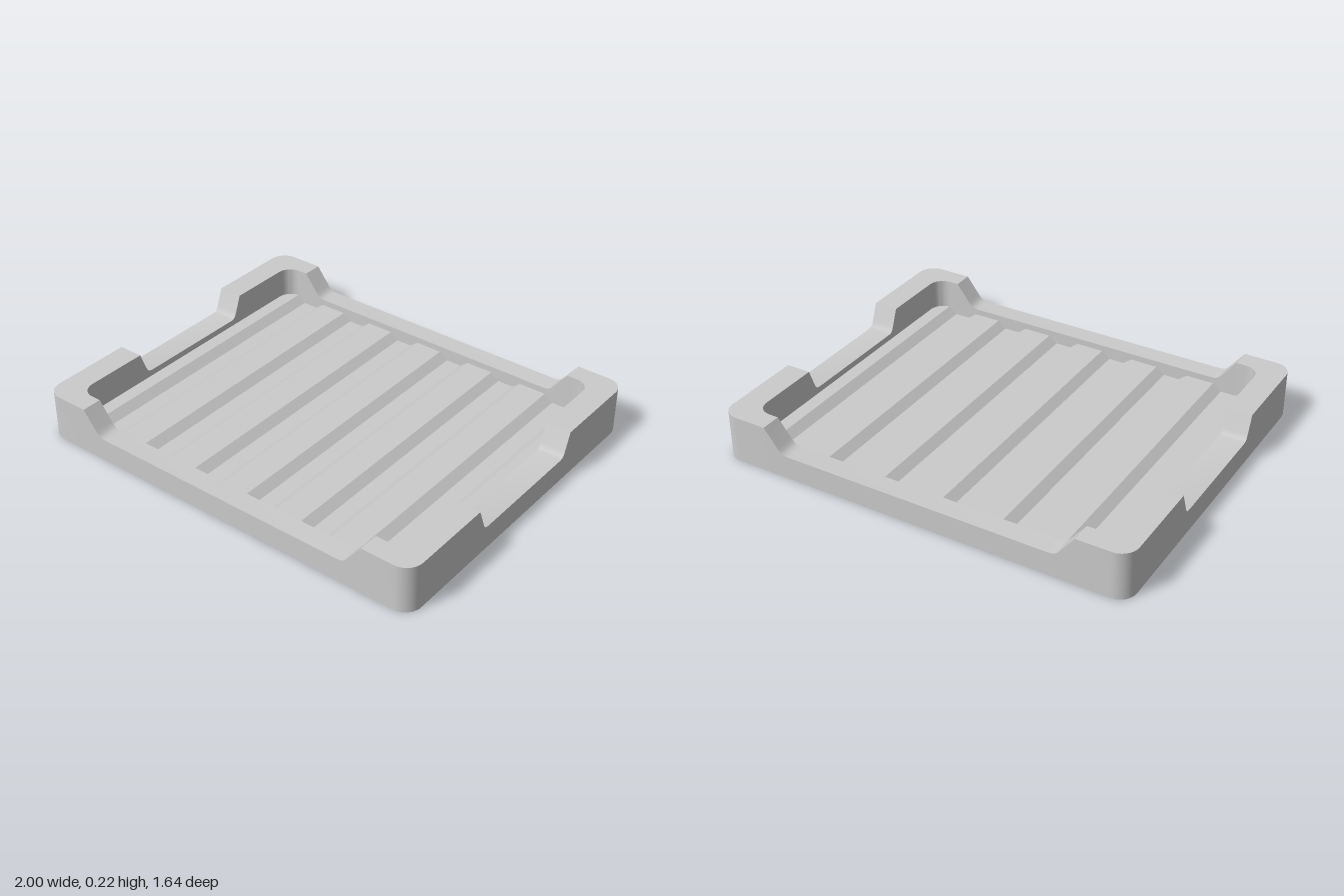
import * as THREE from 'three';
import { toCreasedNormals } from 'three/addons/utils/BufferGeometryUtils.js';

const material = new THREE.MeshStandardMaterial({ color: 0xcccccc });
const RIM_TOP = 0.225, FLOOR = 0.05, RIDGE_TOP = 0.082;
const OUTER = [1, 0.82, 0.08], INNER = [0.88, 0.723, 0.07]; // half x, half z, corner radius
const ARC = 10;

// Notch profiles, half of each: [distance from middle, rim height]
const mirrored = (half) => [...half, ...half.map(([t, y]) => [-t, y]).reverse()];
const LONG_NOTCH = mirrored([[0.762, RIM_TOP], [0.696, 0.14], [0.683, 0.125], [0.667, 0.115], [0.645, 0.112]]);
const SHORT_NOTCH = mirrored([[0.348, RIM_TOP], [0.315, 0.14], [0.308, 0.125], [0.298, 0.115], [0.28, 0.112]]);

function addMesh(group, geometry, name) {
  const mesh = new THREE.Mesh(geometry, material);
  mesh.name = name;
  group.add(mesh);
  return mesh;
}

// Rounded rectangle outline with rim heights: a corner arc, then a notched side, four times
function outline([a, b, r]) {
  const points = [];
  for (let q = 0; q < 4; q++) {
    const cx = (q === 0 || q === 3 ? 1 : -1) * (a - r);
    const cz = (q < 2 ? 1 : -1) * (b - r);
    for (let i = 0; i <= ARC; i++) {
      const angle = (q + i / ARC) * Math.PI / 2;
      points.push([cx + r * Math.cos(angle), RIM_TOP, cz + r * Math.sin(angle)]);
    }
    for (const [t, y] of q % 2 ? SHORT_NOTCH : LONG_NOTCH) {
      points.push([[t, y, b], [-a, y, t], [-t, y, -b], [a, y, -t]][q]);
    }
  }
  return points;
}

// Rim wall: a four-sided section carried around the outline
function rimGeometry() {
  const outer = outline(OUTER), inner = outline(INNER);
  const sections = outer.map((o, i) => {
    const n = inner[i];
    return [[o[0], 0, o[2]], o, n, [n[0], 0, n[2]]];
  });
  const positions = [];
  sections.forEach((A, i) => {
    const B = sections[(i + 1) % sections.length];
    for (let k = 0; k < 4; k++) {
      const m = (k + 1) % 4;
      positions.push(...A[k], ...A[m], ...B[m], ...A[k], ...B[m], ...B[k]);
    }
  });
  const geometry = new THREE.BufferGeometry();
  geometry.setAttribute('position', new THREE.Float32BufferAttribute(positions, 3));
  return toCreasedNormals(geometry, 0.5);
}

// Floor plate with four blind slots on its underside
function floorGeometry(pitch) {
  const shape = new THREE.Shape(outline(INNER).map(([x, , z]) => new THREE.Vector2(x, z)));
  for (const i of [-2, -1, 1, 2]) {
    const x = i * pitch, w = 0.057, l = 0.52;
    shape.holes.push(new THREE.Path([[x - w, -l], [x - w, l], [x + w, l], [x + w, -l]]
      .map((p) => new THREE.Vector2(...p))));
  }
  return new THREE.ExtrudeGeometry(shape, { depth: FLOOR, bevelEnabled: false }).rotateX(-Math.PI / 2);
}

// Trapezoid bar along z, from x0 to x1 at its foot
function ridgeGeometry(x0, x1, slope0, slope1) {
  const shape = new THREE.Shape([
    [x0, FLOOR], [x1, FLOOR], [x1 - slope1, RIDGE_TOP], [x0 + slope0, RIDGE_TOP],
  ].map((p) => new THREE.Vector2(...p)));
  return new THREE.ExtrudeGeometry(shape, { depth: 1.46, bevelEnabled: false }).translate(0, 0, -0.73);
}

export function createModel() {
  const group = new THREE.Group();
  group.name = 'ribbedTray';
  const pitch = 0.294, slope = 0.042;

  addMesh(group, rimGeometry(), 'rim');
  addMesh(group, floorGeometry(pitch), 'floor');

  // Five full ridges, which also close the slots from above
  for (let i = -2; i <= 2; i++) {
    const x = i * pitch;
    addMesh(group, ridgeGeometry(x - 0.109, x + 0.109, slope, slope), 'ridge');
  }
  // Half ridges running into the end walls
  addMesh(group, ridgeGeometry(0.773, 0.89, slope, 0), 'endRidgeLeft');
  addMesh(group, ridgeGeometry(-0.89, -0.773, 0, slope), 'endRidgeRight');

  return group;
}
